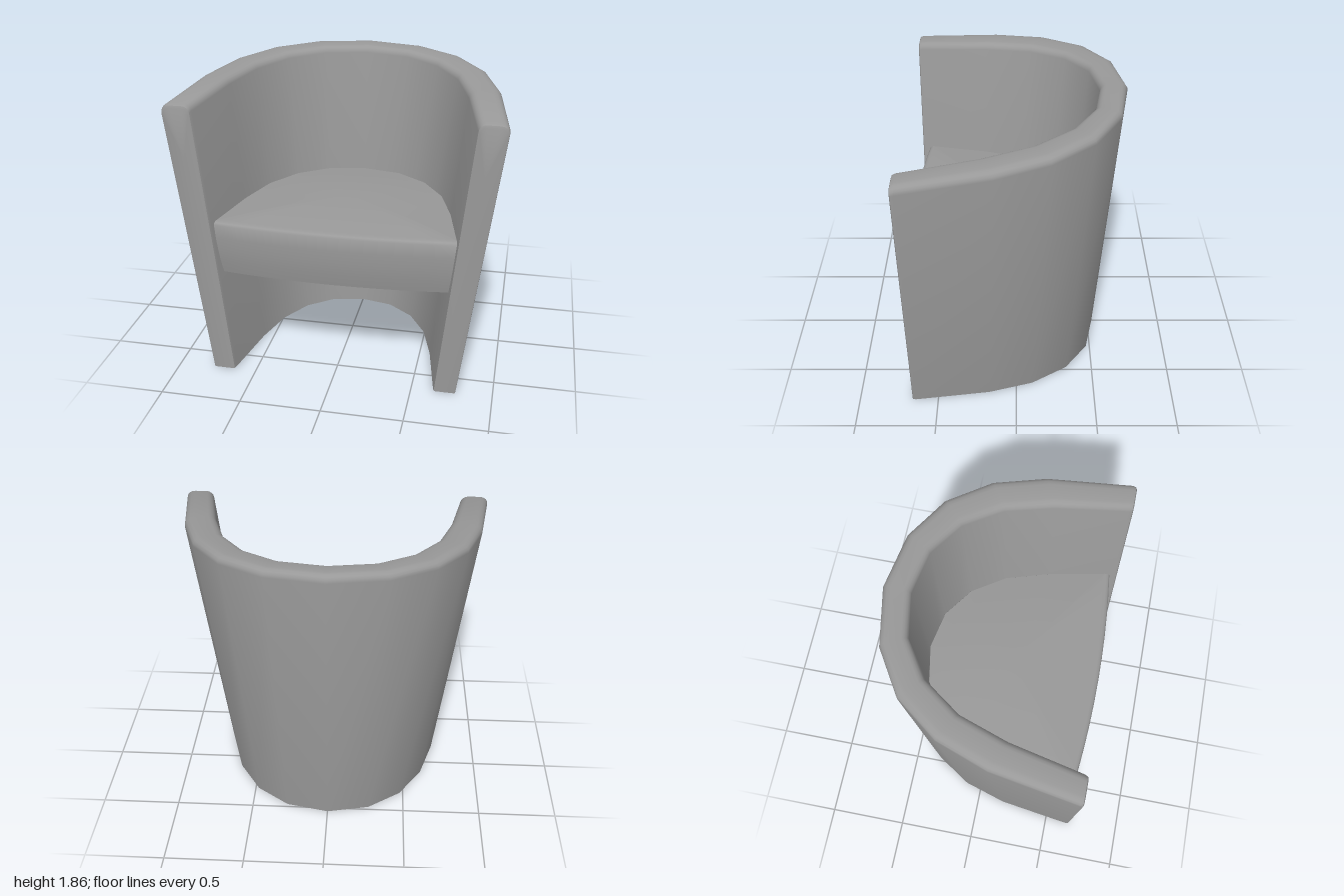
import * as THREE from 'three';
import { toCreasedNormals } from 'three/addons/utils/BufferGeometryUtils.js';

const FRONT = 0.665;
// Half plan at rim height, from the back centre to the front: outer x, z, inner x, z
const plan = [
  [0, -0.665, 0, -0.5], [0.35, -0.603, 0.27, -0.452], [0.62, -0.44, 0.485, -0.31],
  [0.81, -0.19, 0.64, -0.09], [0.92, 0.12, 0.735, 0.2], [1.005, 0.64, 0.825, 0.64],
];
// Walk from the left front, round the back, to the right front
const mirror = half => [...half.slice().reverse(), ...half.slice(1).map(([a, b, c, d]) => [-a, b, -c, d])];

// Taper towards the floor, keeping the front plane upright
function taper(x, y, z) {
  const k = y / 1.76;
  return [x * (0.77 + 0.23 * k), y, FRONT + (z - FRONT) * (0.9 + 0.1 * k)];
}

// Skin a list of closed rings and cap both ends
function loft(rings, crease) {
  const n = rings[0].length, pos = rings.flat(2), index = [];
  const last = (rings.length - 1) * n;
  for (const ring of [rings[0], rings[rings.length - 1]]) {
    for (let a = 0; a < 3; a++) pos.push(ring.reduce((s, p) => s + p[a], 0) / n);
  }
  const c0 = last + n, c1 = c0 + 1;
  for (let j = 0; j < n; j++) {
    const k = (j + 1) % n;
    for (let i = 0; i < rings.length - 1; i++) {
      const a = i * n + j, b = a + n, c = (i + 1) * n + k, d = i * n + k;
      index.push(a, b, c, a, c, d);
    }
    index.push(c0, j, k, c1, last + k, last + j);
  }
  const g = new THREE.BufferGeometry();
  g.setAttribute('position', new THREE.Float32BufferAttribute(pos, 3));
  g.setIndex(index);
  return toCreasedNormals(g, crease);
}

// Wall section: [position across the thickness, drop below rim], with rounded rim
function wallSection() {
  const pts = [[0, null]], steps = 4;
  for (let i = 0; i <= steps; i++) {
    const a = (i / steps) * Math.PI / 2;
    pts.push([0.32 * (1 - Math.cos(a)), 0.05 * (1 - Math.sin(a))]);
  }
  for (let i = steps; i >= 0; i--) {
    const a = (i / steps) * Math.PI / 2;
    pts.push([1 - 0.22 * (1 - Math.cos(a)), 0.04 * (1 - Math.sin(a))]);
  }
  pts.push([1, null]);
  return pts;
}

function shellGeometry() {
  const section = wallSection();
  const ring = ([ox, oz, ix, iz], inset = 0) => section.map(([u, drop]) => {
    const v = inset + u * (1 - 2 * inset);
    const x = ox + (ix - ox) * v, z = oz + (iz - oz) * v;
    const y = drop === null ? 0 : 1.803 - 0.086 * z - drop - inset * 0.25;
    return taper(x, y, z);
  });
  const rings = mirror(plan).map(p => ring(p));
  // softened front ends of the arms
  const end = (s, z, inset) => ring([s * 1.008, z, s * 0.828, z], inset);
  return loft([
    end(1, FRONT, 0.08), end(1, FRONT - 0.005, 0.025), ...rings,
    end(-1, FRONT - 0.005, 0.025), end(-1, FRONT, 0.08),
  ], 0.6);
}

function seatGeometry() {
  const inner = mirror(plan.slice(0, 5)).map(p => [p[2], p[3]]);
  const outline = [[0.815, 0.58], ...inner, [-0.815, 0.58]];
  const cz = 0.1;
  // One level of the cushion: wall side follows the shell, front edge gently bowed
  const ring = (y, front, scale) => {
    const pts = outline.map(([x, z]) => taper(x, y, z));
    pts[0][2] = pts[pts.length - 1][2] = 0.6 - front;
    const w = taper(0.822, y, 0.61)[0];
    for (let i = 0; i <= 10; i++) {
      const t = -1 + i / 5;
      pts.push([w * t, y, 0.661 - 0.045 * t * t - front]);
    }
    return pts.map(([x, h, z]) => [x * scale, h, cz + (z - cz) * scale]);
  };
  // crowned top, from the middle outwards
  const crown = [0.1, 0.3, 0.5, 0.7, 0.85, 0.95].map(f => ring(1 + 0.035 * (1 - f * f), 0.022, f));
  // rounded edge and front face, top to bottom: height, front inset, scale
  const sides = [
    [1.001, 0.022, 0.995], [0.996, 0.009, 1], [0.982, 0.002, 1.004], [0.9, 0, 1.006],
    [0.82, 0.003, 1.006], [0.74, 0.011, 1.006], [0.66, 0.026, 1.006],
  ].map(level => ring(...level));
  return loft([...crown, ...sides], 0.9);
}

export function createModel() {
  const chair = new THREE.Group();
  chair.name = 'tubChair';
  const material = new THREE.MeshStandardMaterial({ color: 0x999999 });
  const add = (name, geometry) => {
    const mesh = new THREE.Mesh(geometry, material);
    mesh.name = name;
    chair.add(mesh);
  };
  add('wraparoundShell', shellGeometry());
  add('seatCushion', seatGeometry());
  return chair;
}
